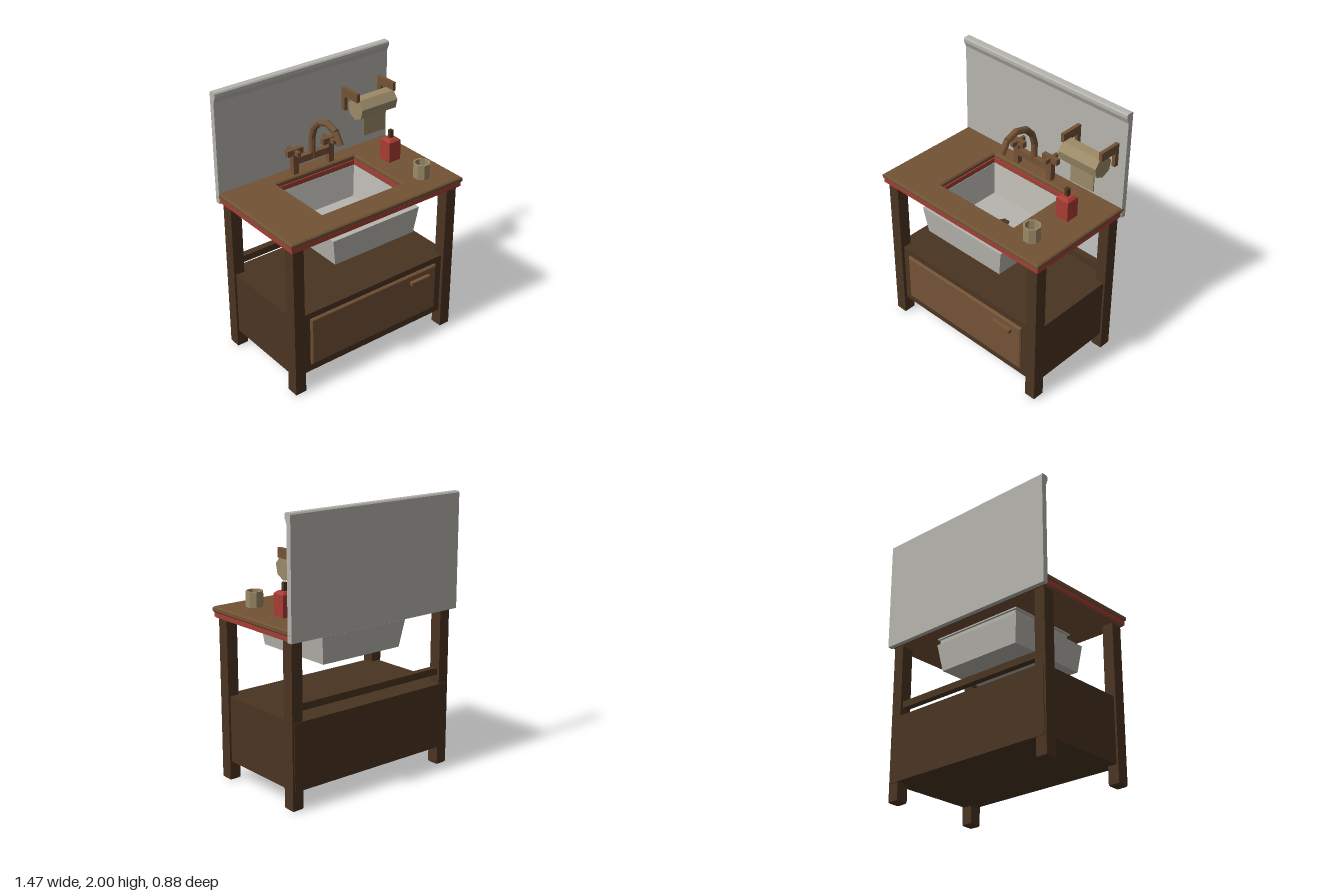
import * as THREE from 'three';

const mat = (name, color, extra = {}) => {
  const m = new THREE.MeshStandardMaterial({ color, ...extra });
  m.name = name;
  m.flatShading = true;
  return m;
};

export function createModel() {
  const wood = mat('wood', 0x735235);
  const darkWood = mat('darkWood', 0x4a3422);
  const stone = mat('stone', 0xb7b5ae);
  const red = mat('red', 0xa83c34);
  const tan = mat('tan', 0x9c8a68);
  const model = new THREE.Group();
  model.name = 'washstand';

  const add = (name, geo, material, parent = model) => {
    const m = new THREE.Mesh(geo, material);
    m.name = name;
    parent.add(m);
    return m;
  };
  // Box given by its minimum and maximum on each axis
  const box = (name, material, x0, x1, y0, y1, z0, z1, parent) => {
    const g = new THREE.BoxGeometry(x1 - x0, y1 - y0, z1 - z0);
    g.translate((x0 + x1) / 2, (y0 + y1) / 2, (z0 + z1) / 2);
    return add(name, g, material, parent);
  };
  const rect = (Kind, x0, x1, z0, z1) => {
    const s = new Kind();
    s.moveTo(x0, z0); s.lineTo(x1, z0); s.lineTo(x1, z1); s.lineTo(x0, z1); s.closePath();
    return s;
  };
  // Chamfered block, optionally with a rectangular hole through it
  const slab = (name, material, x0, x1, y0, y1, z0, z1, b, hole) => {
    const s = rect(THREE.Shape, x0, x1, z0, z1);
    if (hole) s.holes.push(rect(THREE.Path, ...hole));
    const g = new THREE.ExtrudeGeometry(s, {
      depth: y1 - y0 - 2 * b, bevelEnabled: b > 0, bevelSize: b,
      bevelThickness: b, bevelOffset: -b, bevelSegments: 1,
    });
    g.rotateX(Math.PI / 2);
    g.translate(0, y1 - b, 0);
    return add(name, g, material);
  };

  // Countertop: wooden top, red trim and wooden underside around the basin
  const hole = [-0.345, 0.345, -0.283, 0.247];
  slab('countertop', wood, -0.735, 0.735, 1.207, 1.25, -0.425, 0.44, 0.01, hole);
  slab('countertopTrim', red, -0.728, 0.728, 1.178, 1.208, -0.405, 0.432, 0, hole);
  slab('countertopUnderside', wood, -0.72, 0.72, 1.17, 1.179, -0.405, 0.424, 0, hole);

  // Backsplash with a thicker top lip
  const profile = [[-0.44, 1.17], [-0.4, 1.17], [-0.4, 1.925], [-0.383, 1.965], [-0.383, 1.99],
    [-0.39, 2], [-0.433, 2], [-0.44, 1.99]].map(p => new THREE.Vector2(...p));
  const splash = new THREE.ExtrudeGeometry(new THREE.Shape(profile), { depth: 1.47, bevelEnabled: false });
  splash.rotateY(-Math.PI / 2);
  splash.translate(0.735, 0, 0);
  add('backsplash', splash, stone);

  // Legs
  for (const s of [-1, 1]) {
    const [x0, x1] = s > 0 ? [0.62, 0.705] : [-0.705, -0.62];
    slab('frontLeg', darkWood, x0, x1, 0, 1.172, 0.32, 0.41, 0.01);
    slab('backLeg', darkWood, x0, x1, 0, 1.172, -0.4, -0.31, 0.01);
  }

  // Cabinet, drawer and back rail
  box('cabinet', darkWood, -0.69, 0.69, 0.14, 0.62, -0.405, 0.385);
  box('backRail', darkWood, -0.63, 0.63, 0.685, 0.735, -0.38, -0.33);
  const front = new THREE.ExtrudeGeometry(rect(THREE.Shape, -0.56, 0.56, 0.2, 0.575), {
    depth: 0.015, bevelSize: 0.01, bevelThickness: 0.01, bevelOffset: -0.01, bevelSegments: 1,
  });
  front.translate(0, 0, 0.38);
  add('drawerFront', front, wood);
  box('drawerHandle', wood, 0.31, 0.48, 0.5, 0.527, 0.4, 0.435);

  // Basin: rectangular rings from the inner floor, over the rim, down the outside
  // Each ring is half width, back z, front z, height
  const rings = [
    [0.3, -0.235, 0.2, 0.95], [0.342, -0.281, 0.245, 1.172], [0.37, -0.297, 0.27, 1.172],
    [0.37, -0.297, 0.27, 1.16], [0.355, -0.287, 0.257, 1.155], [0.355, -0.287, 0.257, 1.12],
    [0.372, -0.302, 0.4, 1.12], [0.342, -0.272, 0.38, 0.92],
  ];
  const pos = [];
  const idx = [];
  for (const [w, zb, zf, y] of rings) pos.push(-w, y, zb, -w, y, zf, w, y, zf, w, y, zb);
  for (let r = 0; r < rings.length - 1; r++) {
    for (let k = 0; k < 4; k++) {
      const a = r * 4 + k, b = r * 4 + (k + 1) % 4;
      idx.push(a, a + 4, b, b, a + 4, b + 4);
    }
  }
  const e = (rings.length - 1) * 4;
  idx.push(0, 1, 2, 0, 2, 3, e, e + 2, e + 1, e, e + 3, e + 2);
  // Turn the walls so that the inside faces the middle of the basin
  for (let i = 0; i < idx.length - 12; i += 3) [idx[i + 1], idx[i + 2]] = [idx[i + 2], idx[i + 1]];
  let basin = new THREE.BufferGeometry();
  basin.setAttribute('position', new THREE.Float32BufferAttribute(pos, 3));
  basin.setIndex(idx);
  basin = basin.toNonIndexed();
  basin.computeVertexNormals();
  const stoneShell = stone;
  stoneShell.side = THREE.DoubleSide;
  add('basin', basin, stoneShell);
  const drain = new THREE.CylinderGeometry(0.043, 0.043, 0.008, 6);
  drain.rotateY(Math.PI / 6);
  drain.translate(0, 0.954, -0.017);
  add('drain', drain, darkWood);

  // Faucet: two posts with cross handles, a bridge and a curved spout
  const faucet = new THREE.Group();
  faucet.name = 'faucet';
  model.add(faucet);
  for (const x of [-0.155, 0.155]) {
    box('faucetPost', wood, x - 0.022, x + 0.022, 1.25, 1.41, -0.347, -0.303, faucet);
    box('handleBarAcross', wood, x - 0.067, x + 0.067, 1.397, 1.442, -0.343, -0.307, faucet);
    box('handleBarAlong', wood, x - 0.012, x + 0.012, 1.402, 1.436, -0.392, -0.262, faucet);
  }
  box('faucetBridge', wood, -0.155, 0.155, 1.322, 1.372, -0.345, -0.305, faucet);
  const path = [[1.33, -0.325], [1.48, -0.325], [1.56, -0.3], [1.63, -0.235], [1.657, -0.14],
    [1.63, -0.055], [1.545, 0]].map(([y, z]) => new THREE.Vector3(0, y, z));
  for (let i = 0; i < path.length - 1; i++) {
    const d = path[i + 1].clone().sub(path[i]);
    const g = new THREE.CylinderGeometry(0.024, 0.024, d.length() + (i < path.length - 2 ? 0.008 : 0), 8);
    const m = add('spoutSegment', g, wood, faucet);
    m.position.copy(path[i]).addScaledVector(d, 0.5);
    m.quaternion.setFromUnitVectors(new THREE.Vector3(0, 1, 0), d.normalize());
  }

  // Towel roll with its hanging sheet and two wall brackets
  const roll = new THREE.CylinderGeometry(0.082, 0.082, 0.32, 7);
  roll.rotateZ(Math.PI / 2);
  const rollMesh = add('towelRoll', roll, tan);
  rollMesh.position.set(0.498, 1.62, -0.265);
  // One corner of the roll points straight down
  rollMesh.rotation.x = Math.PI / 2;
  const lowest = new THREE.Vector3();
  let bottom = Infinity;
  for (let k = 0; k < 4; k++) {
    const angle = k * Math.PI / 2;
    let low = Infinity;
    for (let i = 0; i < roll.attributes.position.count; i++) {
      lowest.fromBufferAttribute(roll.attributes.position, i).applyAxisAngle(new THREE.Vector3(1, 0, 0), angle);
      low = Math.min(low, lowest.y);
    }
    if (low < bottom) { bottom = low; rollMesh.rotation.x = angle; }
  }
  box('towelSheet', tan, 0.4, 0.6, 1.4, 1.56, -0.255, -0.246);
  for (const x of [0.322, 0.648]) {
    box('bracketArm', wood, x, x + 0.026, 1.685, 1.75, -0.4, -0.226);
    box('bracketPlate', wood, x, x + 0.026, 1.577, 1.686, -0.4, -0.365);
  }

  // Soap dispenser
  slab('soapBottle', red, 0.465, 0.567, 1.24, 1.42, -0.135, -0.033, 0.018);
  box('soapBottleBase', red, 0.465, 0.567, 1.25, 1.27, -0.135, -0.033);
  box('soapPump', darkWood, 0.502, 0.53, 1.41, 1.478, -0.098, -0.07);

  // Hollow cup
  const cup = new THREE.LatheGeometry([[0, 1.25], [0.062, 1.25], [0.062, 1.36], [0.05, 1.36],
    [0.05, 1.27], [0, 1.27]].map(p => new THREE.Vector2(...p)), 8, Math.PI / 8);
  cup.translate(0.515, 0, 0.255);
  add('cup', cup, tan);

  return model;
}
